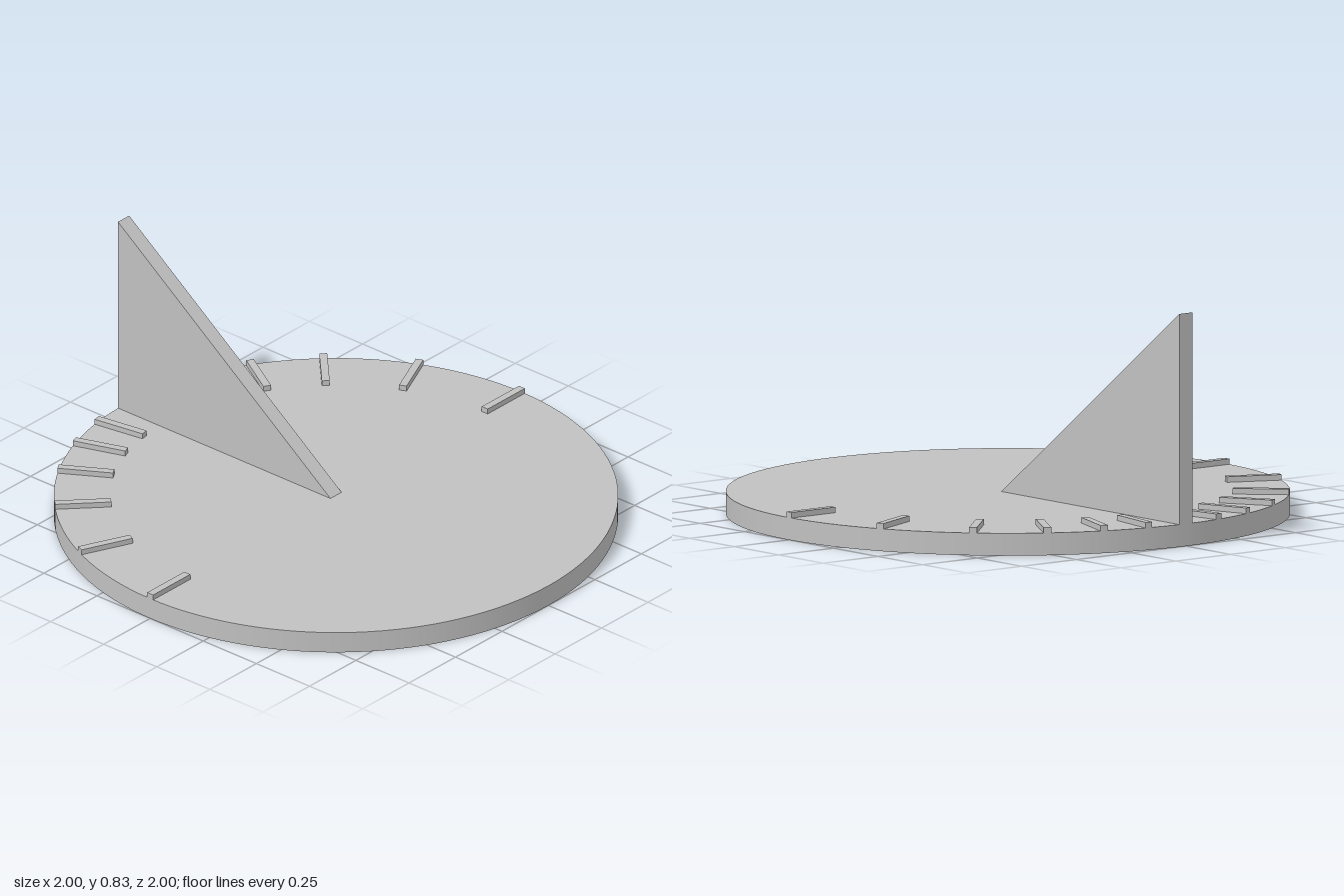
import * as THREE from 'three';

export function createModel() {
  const group = new THREE.Group();
  const stone = new THREE.MeshStandardMaterial({ color: 0xc0c0c0 });
  stone.name = 'grey stone';
  const plateTop = 0.08;
  const slope = 0.755; // rise of the gnomon per unit of run

  const add = (name, geometry, parent = group) => {
    const mesh = new THREE.Mesh(geometry, stone);
    mesh.name = name;
    parent.add(mesh);
    return mesh;
  };

  // Round dial plate
  add('dialPlate', new THREE.CylinderGeometry(1, 1, plateTop, 128)).position.y = plateTop / 2;

  // Triangular gnomon, rising from the centre to the back rim
  const triangle = new THREE.Shape();
  triangle.moveTo(0, 0);
  triangle.lineTo(1, 0);
  triangle.lineTo(1, slope);
  triangle.closePath();
  const gnomon = new THREE.ExtrudeGeometry(triangle, { depth: 0.06, bevelEnabled: false });
  gnomon.translate(0, 0, -0.03);
  gnomon.rotateY(Math.PI / 2);
  add('gnomon', gnomon).position.y = plateTop;

  // Hour marks, spaced by the sundial rule for the gnomon's angle
  const hourMarks = new THREE.Group();
  hourMarks.name = 'hourMarks';
  group.add(hourMarks);
  const sinLatitude = Math.sin(Math.atan(slope));
  for (let hour = -6; hour <= 6; hour++) {
    if (hour === 0) continue; // noon lies under the gnomon
    const t = (hour * Math.PI) / 12;
    const angle = Math.atan2(sinLatitude * Math.sin(t), Math.cos(t));
    const mark = new THREE.BoxGeometry(0.028, 0.02, 0.2);
    mark.translate(0, plateTop + 0.01, -0.9);
    add('hourMark', mark, hourMarks).rotation.y = -angle;
  }

  return group;
}
